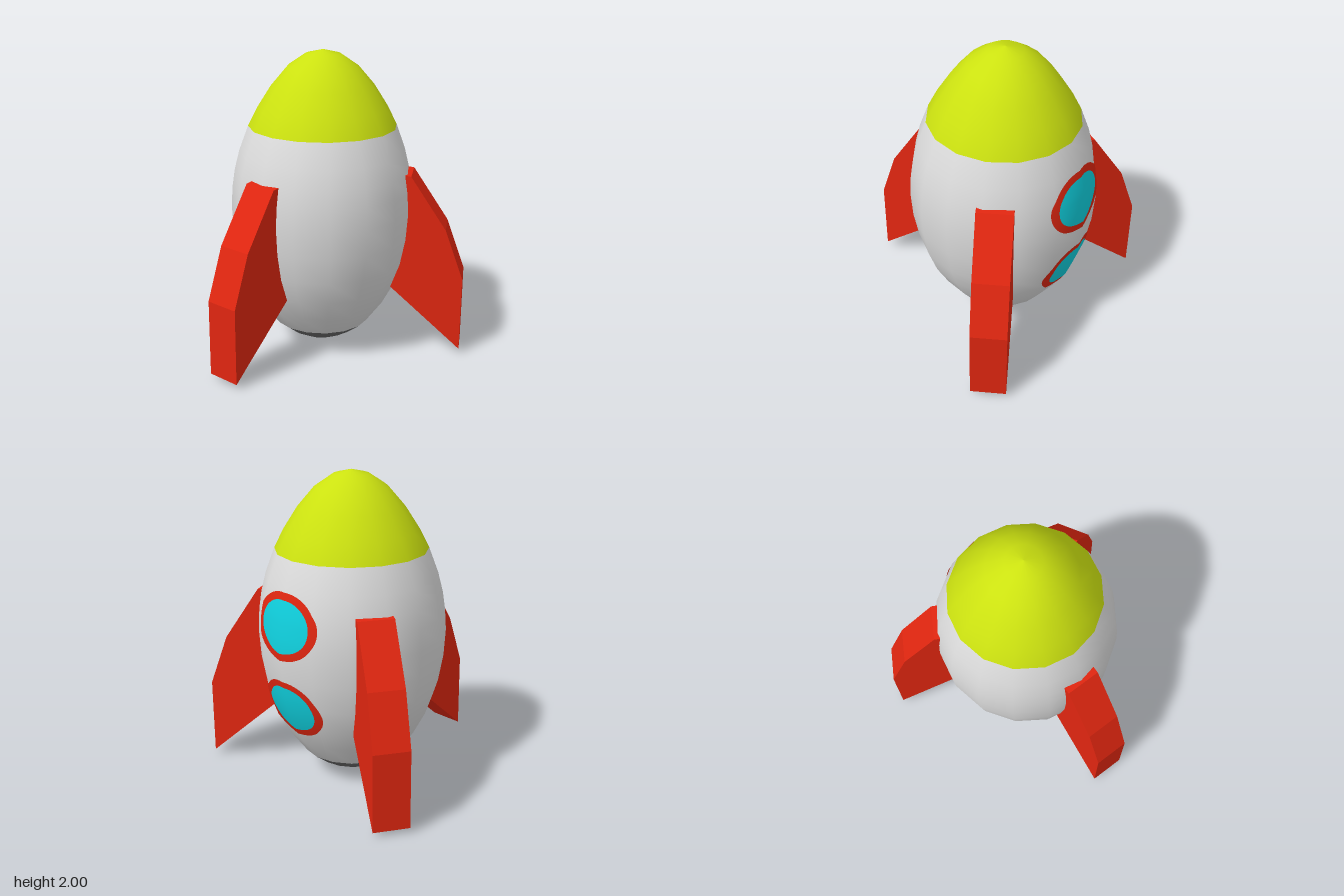
import * as THREE from 'three';

const mat = (name, color) => {
  const m = new THREE.MeshStandardMaterial({ color });
  m.name = name;
  return m;
};

// hull profile [radius, height], bottom to top
const PROFILE = [
  [0, 0], [0.118, 0.025], [0.232, 0.085], [0.323, 0.155], [0.428, 0.298], [0.508, 0.449],
  [0.562, 0.605], [0.594, 0.78], [0.606, 0.96], [0.597, 1.1], [0.58, 1.215], [0.548, 1.343],
  [0.488, 1.505], [0.426, 1.628], [0.336, 1.77], [0.231, 1.893], [0.115, 1.972], [0, 2],
];
const SIDES = 16, BASE_END = 3, NOSE_START = 12;

// radius and slope of the hull at height y
function hullAt(y) {
  let i = 0;
  while (i < PROFILE.length - 2 && PROFILE[i + 1][1] < y) i++;
  const [r0, y0] = PROFILE[i], [r1, y1] = PROFILE[i + 1];
  const slope = (r1 - r0) / (y1 - y0);
  return { r: r0 + slope * (y - y0), slope };
}

// x of the sixteen-sided hull surface at (y, z) on its +x side
function hullX(y, z) {
  const { r } = hullAt(y), step = (2 * Math.PI) / SIDES, az = Math.abs(z);
  let k = 0;
  while (k < 3 && r * Math.sin((k + 1) * step) < az) k++;
  const a = k * step, b = a + step;
  const t = (az - r * Math.sin(a)) / (r * (Math.sin(b) - Math.sin(a)));
  return r * (Math.cos(a) + t * (Math.cos(b) - Math.cos(a)));
}

// one lathe, its triangles grouped into base, body and nose
function hullGeometry() {
  const geo = new THREE.LatheGeometry(PROFILE.map(([r, y]) => new THREE.Vector2(r, y)), SIDES);
  const n = PROFILE.length, bands = [[], [], []];
  for (let i = 0; i < SIDES; i++) {
    for (let j = 0; j < n - 1; j++) {
      const a = i * n + j, b = a + n;
      const band = j < BASE_END ? 0 : j < NOSE_START ? 1 : 2;
      bands[band].push(a, b, a + 1, b + 1, a + 1, b);
    }
  }
  geo.setIndex(bands.flat());
  let start = 0;
  bands.forEach((band, g) => {
    geo.addGroup(start, band.length, g);
    start += band.length;
  });
  return geo;
}

// elliptical patch or ring that hugs the hull
function patchGeometry(cy, inner, outer, lift) {
  const RINGS = 8, AROUND = 48, pos = [], nor = [], idx = [];
  for (let i = 0; i <= RINGS; i++) {
    const t = i / RINGS;
    const rz = inner[0] + (outer[0] - inner[0]) * t;
    const ry = inner[1] + (outer[1] - inner[1]) * t;
    for (let j = 0; j <= AROUND; j++) {
      const a = (j / AROUND) * Math.PI * 2;
      const y = cy + ry * Math.sin(a), z = -rz * Math.cos(a);
      const x = hullX(y, z);
      // slope sampled over a wider span for smooth shading
      const slope = (hullAt(y + 0.08).r - hullAt(y - 0.08).r) / 0.16;
      const d = Math.hypot(x, z);
      const nrm = new THREE.Vector3(x / d, -slope, z / d).normalize();
      pos.push(x + nrm.x * lift, y + nrm.y * lift, z + nrm.z * lift);
      nor.push(nrm.x, nrm.y, nrm.z);
      if (i < RINGS && j < AROUND) {
        const p = i * (AROUND + 1) + j, q = p + AROUND + 1;
        idx.push(p, q, p + 1, q, q + 1, p + 1);
      }
    }
  }
  const geo = new THREE.BufferGeometry();
  geo.setAttribute('position', new THREE.Float32BufferAttribute(pos, 3));
  geo.setAttribute('normal', new THREE.Float32BufferAttribute(nor, 3));
  geo.setIndex(idx);
  return geo;
}

export function createModel() {
  const white = mat('hullWhite', 0xdcdcdc);
  const dark = mat('baseGrey', 0x666666);
  const lime = mat('noseLime', 0xcce210);
  const red = mat('finRed', 0xe02610);
  const cyan = mat('glassCyan', 0x10d2e0);
  red.side = cyan.side = THREE.DoubleSide;

  const model = new THREE.Group();
  model.name = 'rocket';
  const add = (name, geo, material, parent = model) => {
    const mesh = new THREE.Mesh(geo, material);
    mesh.name = name;
    parent.add(mesh);
    return mesh;
  };

  // hull with base and nose
  add('hull', hullGeometry(), [dark, white, lime]);

  // two portholes on the +x side
  [
    { name: 'upperWindow', y: 1.115, rim: [0.26, 0.21], glass: [0.206, 0.164] },
    { name: 'lowerWindow', y: 0.57, rim: [0.243, 0.193], glass: [0.194, 0.152] },
  ].forEach(({ name, y, rim, glass }) => {
    const win = new THREE.Group();
    win.name = name;
    add('rim', patchGeometry(y, glass, rim, 0.006), red, win);
    add('glass', patchGeometry(y, [0, 0], glass, 0.006), cyan, win);
    model.add(win);
  });

  // three swept fins, rooted inside the hull
  const outline = [[0.38, 0.537], [0.957, 0.03], [0.957, 0.53], [0.835, 0.865], [0.6, 1.215], [0.45, 1.235]];
  const finShape = new THREE.Shape(outline.map(([u, y]) => new THREE.Vector2(u, y)));
  const finGeo = new THREE.ExtrudeGeometry(finShape, { depth: 0.23, bevelEnabled: false });
  finGeo.translate(0, 0, -0.115);
  [['rightFin', Math.PI], ['backFin', Math.PI / 3], ['frontFin', -Math.PI / 3]].forEach(([name, angle]) => {
    add(name, finGeo, red).rotation.y = angle;
  });

  // the hull axis sits off centre so the whole is centred
  model.children.forEach((part) => { part.position.x = 0.171; });
  return model;
}
